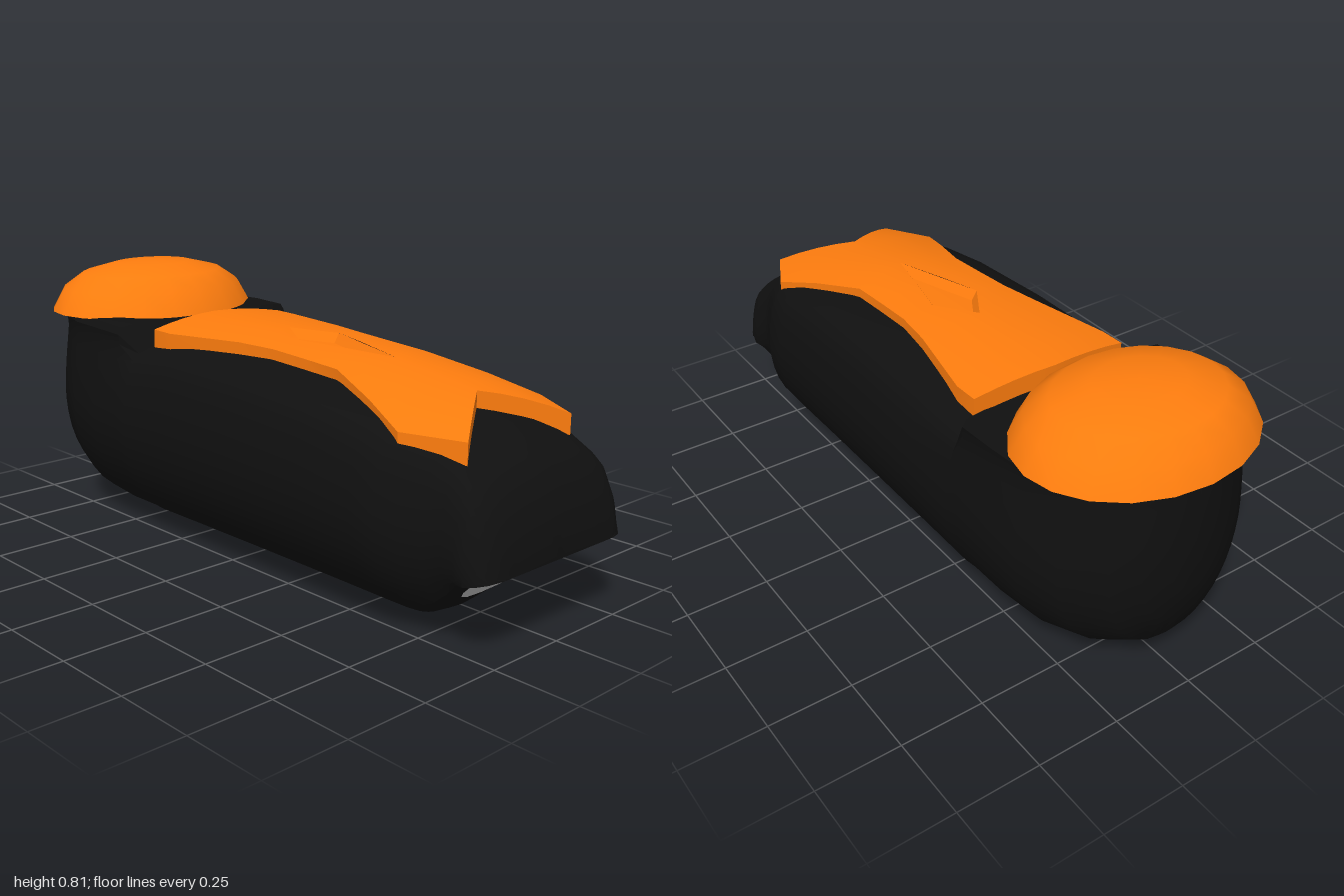
import * as THREE from 'three';
import { mergeVertices, toCreasedNormals } from 'three/addons/utils/BufferGeometryUtils.js';

const orange = new THREE.MeshStandardMaterial({ color: 0xff7d0e });
const black = new THREE.MeshStandardMaterial({ color: 0x101010 });
const grey = new THREE.MeshStandardMaterial({ color: 0xcccccc, side: THREE.DoubleSide });

// Piecewise linear lookup in [[x, value], ...]
function lookup(table, x) {
  if (x <= table[0][0]) return table[0][1];
  for (let i = 1; i < table.length; i++) {
    const [x0, v0] = table[i - 1], [x1, v1] = table[i];
    if (x <= x1) return v0 + (v1 - v0) * (x - x0) / (x1 - x0);
  }
  return table[table.length - 1][1];
}

function fromTriangles(points, crease) {
  const g = new THREE.BufferGeometry();
  g.setAttribute('position', new THREE.Float32BufferAttribute(points.flat(), 3));
  return toCreasedNormals(mergeVertices(g), crease);
}

function named(name, geometry, material) {
  const mesh = new THREE.Mesh(geometry, material);
  mesh.name = name;
  return mesh;
}

// Body: half cross-sections (width, height), from the keel up to the crown
const halfCurve = (pts) => new THREE.SplineCurve(pts.map(p => new THREE.Vector2(...p))).getPoints(22);
const lower = [[0, 0], [.38, .03], [.71, .14], [.915, .31], [1, .51], [.985, .7]];
const roundTop = halfCurve([...lower, [.9, .88], [.72, .95], [.38, .985], [0, 1]]);
const flatTop = halfCurve([...lower, [.93, .9], [.89, 1], [.4, 1], [0, 1]]);

// Sloping cut under the front end
const floorAt = (x) => lookup([[.68, 0], [.9, .2], [1, .225]], x);

function bodyGeometry() {
  // x, half width, bottom, top, roundness of the top
  const stations = [
    [-.98, .03, .45, .665, 0], [-.97, .09, .31, .665, 0], [-.945, .16, .2, .665, 0],
    [-.9, .222, .1, .665, 0], [-.8, .306, .04, .665, 0], [-.68, .35, .01, .665, 0],
    [-.55, .362, 0, .665, 0], [-.43, .364, 0, .66, 0], [-.38, .365, 0, .625, 1],
    [-.2, .367, 0, .64, 1], [.1, .367, 0, .638, 1], [.4, .365, 0, .62, 1],
    [.6, .362, 0, .59, 1], [.68, .357, 0, .57, 1], [.74, .33, 0, .555, 1],
    [.8, .305, 0, .537, 1], [.85, .292, 0, .51, 1], [.9, .302, 0, .475, 1],
    [.93, .304, 0, .445, 1], [.965, .292, 0, .38, 1], [.988, .27, 0, .305, 1], [1, .23, 0, .24, 1],
  ];
  const rings = stations.map(([x, w, y0, y1, t]) => {
    const half = flatTop.map((p, i) => {
      const q = p.clone().lerp(roundTop[i], t);
      return [x, Math.max(y0 + (y1 - y0) * q.y, floorAt(x)), w * q.x];
    });
    const mirrored = half.slice(1, -1).reverse().map(([a, b, c]) => [a, b, -c]);
    return [...half, ...mirrored];
  });
  const n = rings[0].length, tris = [];
  for (let i = 0; i < rings.length - 1; i++) {
    for (let j = 0; j < n; j++) {
      const k = (j + 1) % n;
      const a = rings[i][j], b = rings[i + 1][j], c = rings[i + 1][k], d = rings[i][k];
      tris.push(a, b, c, a, c, d);
    }
  }
  // Close both ends
  const first = rings[0], last = rings[rings.length - 1];
  for (let j = 0; j < n; j++) {
    const k = (j + 1) % n;
    tris.push([-.98, .55, 0], first[j], first[k], [1, .23, 0], last[k], last[j]);
  }
  return fromTriangles(tris, .6);
}

// Curved top of the plate
const crown = [[-.38, .68], [0, .675], [.4, .655], [.7, .612], [.86, .575]];
const droop = [[-.38, .4], [.13, .5], [.7, .75], [.86, .8]];
const plateY = (x, z) => lookup(crown, x) - lookup(droop, x) * z * z;

function plateGeometry() {
  const thick = .06, cols = 4;
  // inner x, inner z (opening), outer x, outer z
  const rows = [
    [-.38, 0, -.36, .255], [-.28, 0, -.28, .255], [-.02, 0, -.02, .2],
    [.11, .08, .11, .182], [.24, .0465, .24, .18], [.42, 0, .37, .18],
    [.54, 0, .55, .238], [.63, 0, .7, .29], [.71, 0, .86, .21],
  ];
  const tris = [];
  for (const side of [1, -1]) {
    const quad = (a, b, c, d) => {
      if (side > 0) tris.push(a, b, c, a, c, d);
      else tris.push(a, c, b, a, d, c);
    };
    const grid = (drop) => rows.map(([xi, zi, xo, zo]) => Array.from({ length: cols + 1 }, (_, k) => {
      const f = k / cols, x = xi + (xo - xi) * f, z = zi + (zo - zi) * f;
      return [x, plateY(x, z) - drop, z * side];
    }));
    const top = grid(0), low = grid(thick), end = rows.length - 1;
    for (let i = 0; i < end; i++) {
      for (let k = 0; k < cols; k++) {
        quad(top[i][k], top[i][k + 1], top[i + 1][k + 1], top[i + 1][k]);
        quad(low[i][k], low[i + 1][k], low[i + 1][k + 1], low[i][k + 1]);
      }
      quad(top[i][cols], low[i][cols], low[i + 1][cols], top[i + 1][cols]);
    }
    // Rear and front walls
    for (let k = 0; k < cols; k++) {
      quad(top[0][k], low[0][k], low[0][k + 1], top[0][k + 1]);
      quad(top[end][k], top[end][k + 1], low[end][k + 1], low[end][k]);
    }
  }
  return fromTriangles(tris, .5);
}

// Diamond recess: tapered walls down to a smaller floor
function recessGeometry() {
  const ring = (pts, drop) => pts.map(([x, z]) => [x, plateY(x, z) - drop, z]);
  const rim = ring([[-.02, 0], [.11, .08], [.42, 0], [.11, -.08]], 0);
  const base = ring([[.01, 0], [.11, .062], [.35, 0], [.11, -.062]], .03);
  const tris = [];
  for (let i = 0; i < 4; i++) {
    const k = (i + 1) % 4;
    tris.push(rim[i], rim[k], base[k], rim[i], base[k], base[i]);
  }
  tris.push(base[0], base[1], base[2], base[0], base[2], base[3]);
  return fromTriangles(tris, .3);
}

export function createModel() {
  const model = new THREE.Group();
  model.name = 'model';
  model.add(named('body', bodyGeometry(), black));

  // Oval dome at the rear end
  const profile = [[0, .662], [1, .662], [.88, .735], [.69, .78], [.38, .807], [0, .815]];
  const dome = new THREE.LatheGeometry(profile.map(p => new THREE.Vector2(...p)), 20);
  dome.scale(.285, 1, .355);
  dome.translate(-.715, 0, 0);
  model.add(named('rearDome', toCreasedNormals(dome, .8), orange));

  model.add(named('topPlate', plateGeometry(), orange));
  model.add(named('diamondRecess', recessGeometry(), orange));

  // Half-round panel on the sloping underside
  const panel = new THREE.CircleGeometry(1, 8, Math.PI, Math.PI);
  panel.scale(.17, .149, 1);
  panel.applyMatrix4(new THREE.Matrix4().makeBasis(
    new THREE.Vector3(0, 0, -1), new THREE.Vector3(.74, .673, 0), new THREE.Vector3(.673, -.74, 0)));
  panel.translate(.859, .157, 0);
  model.add(named('undersidePanel', panel, grey));
  return model;
}
